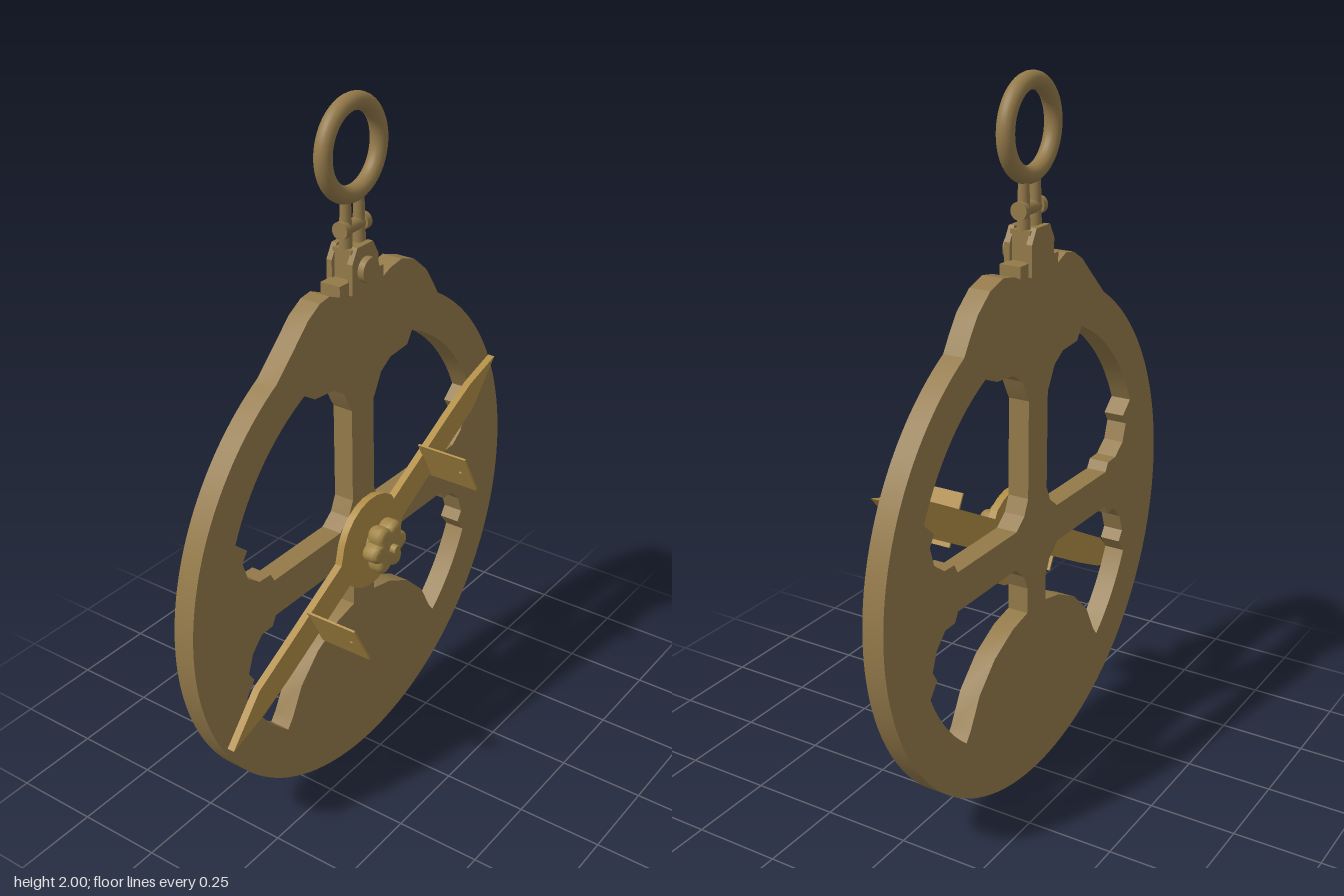
import * as THREE from 'three';
import { toCreasedNormals } from 'three/addons/utils/BufferGeometryUtils.js';

const bronze = new THREE.MeshStandardMaterial({ color: 0x947a4a });
bronze.name = 'bronze';
const brass = new THREE.MeshStandardMaterial({ color: 0xb08d45 });
brass.name = 'brass';
const knobBrass = new THREE.MeshStandardMaterial({ color: 0xa08446 });
knobBrass.name = 'knob brass';

const CY = 0.725;      // centre of the disc
const RING_Z = -0.088; // plane of the hanging parts
const rad = THREE.MathUtils.degToRad;
const pts = (list) => list.map(([x, y]) => new THREE.Vector2(x, y));

function add(parent, name, geometry, material, x = 0, y = 0, z = 0) {
  const mesh = new THREE.Mesh(geometry, material);
  mesh.name = name;
  mesh.position.set(x, y, z);
  parent.add(mesh);
  return mesh;
}

// Flat plate from a shape, lying between z0 and z1
function plate(shape, z0, z1) {
  const g = new THREE.ExtrudeGeometry(shape, { depth: z1 - z0, bevelEnabled: false, curveSegments: 72 });
  g.translate(0, 0, z0);
  return toCreasedNormals(g, 0.35);
}

function arcPoints(cy, r, a0, a1, n = 14) {
  return Array.from({ length: n + 1 }, (_, i) => {
    const a = rad(a0 + ((a1 - a0) * i) / n);
    return [r * Math.cos(a), cy + r * Math.sin(a)];
  });
}

const zCylinder = (r, length, sides = 32) =>
  new THREE.CylinderGeometry(r, r, length, sides).rotateX(Math.PI / 2);

// Wheel with shoulders on top and four openings
function wheelGeometry() {
  const shape = new THREE.Shape();
  shape.absarc(0, CY, 0.725, rad(119.8), rad(420.2), false);
  [[0.335, 1.395], [0.3, 1.445], [0.24, 1.494], [0.18, 1.513], [0.13, 1.505], [0.097, 1.492],
    [0.097, 1.524], [-0.097, 1.524], [-0.097, 1.495], [-0.14, 1.513], [-0.18, 1.507],
    [-0.23, 1.478], [-0.28, 1.43]].forEach(([x, y]) => shape.lineTo(x, y));

  const upper = [
    ...arcPoints(0.735, 0.598, 24, 67),
    [0.21, 1.25], [0.13, 1.243], [0.085, 1.215], [0.062, 1.17], [0.05, 1.15],
    [0.05, 0.87], [0.07, 0.825], [0.11, 0.794], [0.4, 0.794], [0.415, 0.82],
    [0.46, 0.822], [0.505, 0.855], [0.523, 0.91], [0.503, 0.94],
  ];
  const lower = [
    ...arcPoints(CY, 0.582, -24, -51),
    [0.345, 0.3], [0.3, 0.385], [0.222, 0.46], [0.127, 0.508], [0.05, 0.525],
    [0.05, 0.6], [0.07, 0.645], [0.115, 0.683], [0.4, 0.683], [0.415, 0.656],
    [0.46, 0.655], [0.5, 0.615], [0.52, 0.56], [0.5, 0.53],
  ];
  for (const opening of [upper, lower]) {
    for (const side of [1, -1]) {
      shape.holes.push(new THREE.Path(pts(opening.map(([x, y]) => [side * x, y]))));
    }
  }
  return plate(shape, -0.12, -0.058);
}

// Pointed sighting rule with a round middle; one half turned by 180 degrees gives the other
function ruleGeometry() {
  const half = [[0.133, 0.03], [0.455, 0.03], [0.58, 0.026], [0.716, 0], [0.555, -0.06], [0.41, -0.06], [0.135, -0.062]];
  const rim = arcPoints(0, 0.142, 22, 148, 8).slice(0, -1);
  const right = [...half.slice().reverse(), ...rim];
  return plate(new THREE.Shape(pts([...right, ...right.map(([x, y]) => [-x, -y])])), -0.048, -0.026);
}

// Upright sight with a pinhole
function sightGeometry() {
  const shape = new THREE.Shape(pts([[-0.03, -0.074], [0.13, -0.074], [0.13, 0.074], [-0.03, 0.074]]));
  const hole = new THREE.Path();
  hole.absarc(0.093, 0, 0.006, 0, Math.PI * 2, true);
  shape.holes.push(hole);
  return plate(shape, -0.003, 0.003).rotateY(-Math.PI / 2);
}

// Six-lobed knob with rounded faces
function knobGeometry() {
  const outline = Array.from({ length: 72 }, (_, i) => {
    const a = (i / 72) * Math.PI * 2;
    const r = 0.053 + 0.011 * Math.cos(6 * a);
    return [r * Math.cos(a), r * Math.sin(a)];
  });
  const g = new THREE.ExtrudeGeometry(new THREE.Shape(pts(outline)), {
    depth: 0.022, bevelEnabled: true, bevelThickness: 0.016, bevelSize: 0.015, bevelSegments: 4,
  });
  return toCreasedNormals(g.translate(0, 0, 0.004), 0.7);
}

export function createModel() {
  const model = new THREE.Group();
  model.name = 'astrolabe';
  add(model, 'wheel', wheelGeometry(), bronze);

  // Turning rule with its two sights
  const rule = new THREE.Group();
  rule.name = 'sightingRule';
  rule.position.y = CY;
  rule.rotation.z = rad(28);
  model.add(rule);
  add(rule, 'rule', ruleGeometry(), brass);
  for (const side of [1, -1]) {
    add(rule, side > 0 ? 'leftSight' : 'rightSight', sightGeometry(), brass, side * 0.302);
  }

  // Pivot and knob
  add(model, 'pivotWasher', zCylinder(0.04, 0.03), knobBrass, 0, CY, -0.045);
  add(model, 'pivotCollar', zCylinder(0.034, 0.03), knobBrass, 0, CY, -0.018);
  add(model, 'knob', knobGeometry(), knobBrass, 0, CY);
  add(model, 'pivotPin', zCylinder(0.014, 0.12, 20), knobBrass, 0, CY, 0);

  // Hanging bracket: front and back cheeks around a middle block
  const cheek = new THREE.Shape(pts([[-0.057, 1.487], [0.057, 1.487], [0.057, 1.572], [0.034, 1.612], [-0.034, 1.612], [-0.057, 1.572]]));
  add(model, 'frontCheek', plate(cheek, -0.064, -0.047), bronze);
  add(model, 'backCheek', plate(cheek, -0.13, -0.113), bronze);
  add(model, 'bracketBlock', new THREE.BoxGeometry(0.09, 0.09, 0.06), bronze, 0, 1.56, RING_Z);
  add(model, 'bracketPin', zCylinder(0.035, 0.1), bronze, 0, 1.545, -0.078);

  // Shackle: two posts, crossbar and end collars
  for (const side of [1, -1]) {
    add(model, 'shacklePost', new THREE.CylinderGeometry(0.014, 0.018, 0.15, 20), bronze, side * 0.029, 1.675, RING_Z);
    add(model, 'shackleCollar', new THREE.CylinderGeometry(0.024, 0.024, 0.02, 24).rotateZ(Math.PI / 2),
      bronze, side * 0.045, 1.655, RING_Z);
  }
  add(model, 'shackleBar', new THREE.CylinderGeometry(0.018, 0.018, 0.09, 24).rotateZ(Math.PI / 2), bronze, 0, 1.655, RING_Z);
  add(model, 'shackleTop', new THREE.CylinderGeometry(0.016, 0.016, 0.075, 20).rotateZ(Math.PI / 2), bronze, 0, 1.735, RING_Z);

  add(model, 'hangingRing', new THREE.TorusGeometry(0.118, 0.024, 20, 64), bronze, 0, 1.858, RING_Z);
  return model;
}
